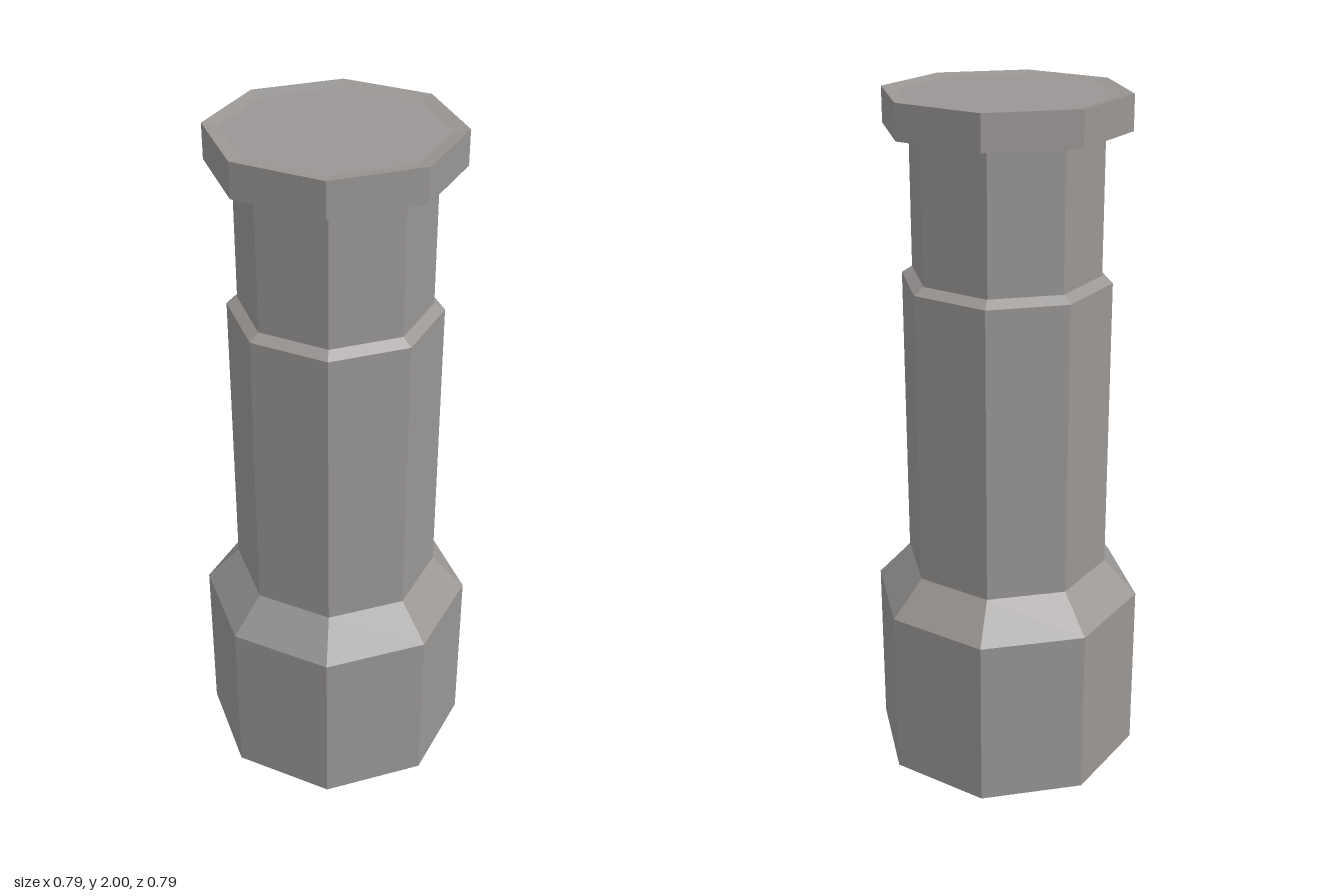
import * as THREE from 'three';

const SIDES = 8;

export function createModel() {
  const model = new THREE.Group();
  model.name = 'telescope';
  const material = new THREE.MeshStandardMaterial({ color: 0x999694, flatShading: true });

  // Eight-sided turned part from a [radius, height] profile running upwards
  function turned(name, profile) {
    const points = profile.map(([r, y]) => new THREE.Vector2(r, y));
    const mesh = new THREE.Mesh(new THREE.LatheGeometry(points, SIDES), material);
    mesh.name = name;
    model.add(mesh);
  }

  // Wide lens housing with a closed bottom and sloped shoulder
  turned('lensHousing', [[0, 0], [0.397, 0], [0.397, 0.512], [0.3, 0.618]]);

  // Main tube with a small bevel at its top
  turned('mainTube', [[0.3, 0.618], [0.3, 1.482], [0.27, 1.502]]);

  // Narrow draw tube, flaring slightly under the eyepiece
  turned('drawTube', [[0.27, 1.502], [0.27, 1.888], [0.29, 1.902]]);

  // Eyepiece flange with a shallow dished top
  turned('eyepiece', [[0.29, 1.902], [0.343, 1.902], [0.343, 2], [0.3, 1.993], [0, 1.993]]);

  return model;
}
